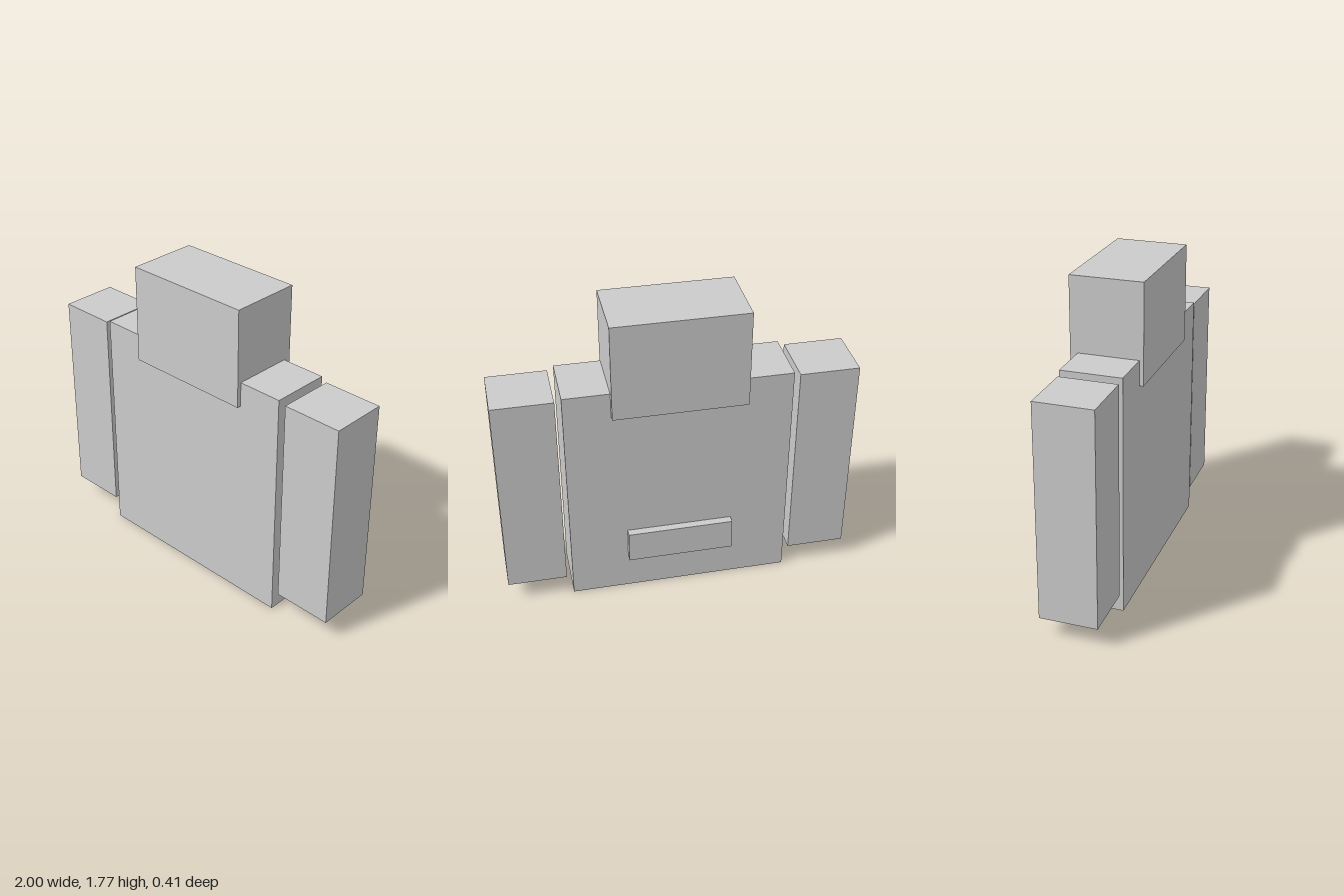
import * as THREE from 'three';

export function createModel() {
  const model = new THREE.Group();
  const material = new THREE.MeshStandardMaterial({ color: 0xcccccc, flatShading: true });

  // Adds a box given its extents along each axis
  function addBox(name, [x0, x1], [y0, y1], [z0, z1]) {
    const mesh = new THREE.Mesh(new THREE.BoxGeometry(x1 - x0, y1 - y0, z1 - z0), material);
    mesh.position.set((x0 + x1) / 2, (y0 + y1) / 2, (z0 + z1) / 2);
    mesh.name = name;
    model.add(mesh);
  }

  // Torso slab and the head sunk into its top edge
  addBox('torso', [-0.63, 0.627], [0, 1.348], [-0.158, 0.18]);
  addBox('head', [-0.374, 0.37], [1.208, 1.766], [-0.2, 0.203]);

  // Arms hang free beside the torso
  addBox('leftArm', [0.662, 1], [0.116, 1.328], [-0.151, 0.172]);
  addBox('rightArm', [-1, -0.666], [0.116, 1.328], [-0.151, 0.172]);

  // Raised plate low on the back, set slightly into the torso
  addBox('backPlate', [-0.302, 0.3], [0.223, 0.411], [-0.203, -0.15]);

  return model;
}
